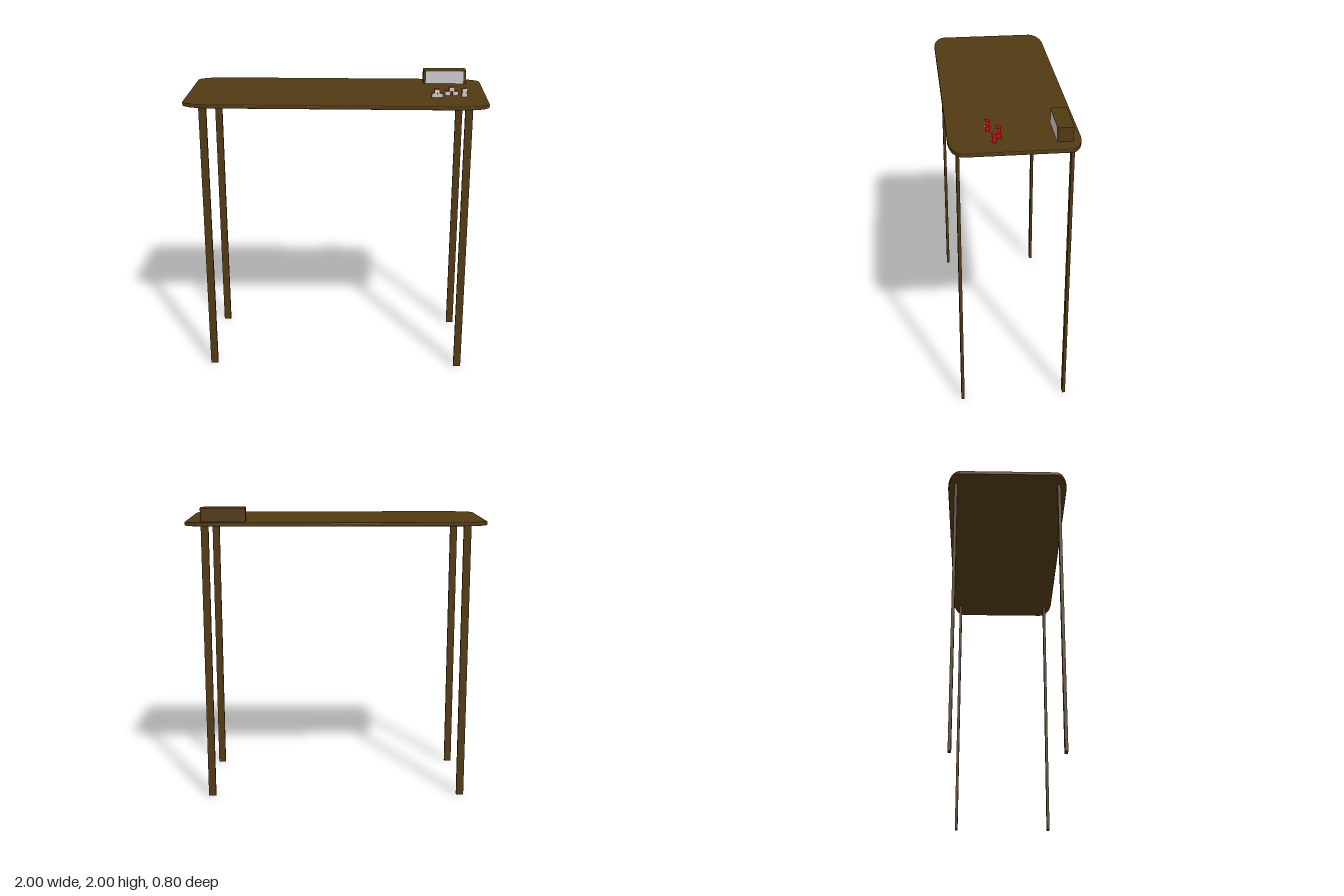
import * as THREE from 'three';

const mat = (color) => new THREE.MeshStandardMaterial({ color });

// Upright slab with elliptical corners, outer size w x h x d, resting on its base
function roundedSlab(w, h, d, rx, rz, bevel, material) {
  const x = w / 2 - bevel, z = d / 2 - bevel;
  const s = new THREE.Shape();
  s.moveTo(x, -z + rz);
  s.absellipse(x - rx, z - rz, rx, rz, 0, Math.PI / 2, false);
  s.absellipse(-x + rx, z - rz, rx, rz, Math.PI / 2, Math.PI, false);
  s.absellipse(-x + rx, -z + rz, rx, rz, Math.PI, Math.PI * 1.5, false);
  s.absellipse(x - rx, -z + rz, rx, rz, Math.PI * 1.5, Math.PI * 2, false);
  const geo = new THREE.ExtrudeGeometry(s, {
    depth: h - 2 * bevel, curveSegments: 12,
    bevelEnabled: bevel > 0, bevelSize: bevel, bevelThickness: bevel, bevelSegments: 2,
  });
  geo.rotateX(-Math.PI / 2);
  geo.translate(0, bevel, 0);
  return new THREE.Mesh(geo, material);
}

export function createModel() {
  const model = new THREE.Group();
  const wood = mat(0x523a14), red = mat(0xd00808), grey = mat(0xcccccc);
  const add = (mesh, name, x, y, z, parent = model) => {
    mesh.name = name;
    mesh.position.set(x, y, z);
    parent.add(mesh);
    return mesh;
  };

  // Table top
  const topY = 1.91, thick = 0.026;
  add(roundedSlab(2, thick, 0.8, 0.19, 0.08, 0.005, wood), 'tableTop', 0, topY - thick, 0);

  // Four flat legs
  const legH = topY - thick + 0.003;
  const legGeo = new THREE.BoxGeometry(0.05, legH, 0.02);
  for (const [sx, side] of [[1, 'left'], [-1, 'right']])
    for (const [sz, end] of [[1, 'Front'], [-1, 'Back']])
      add(new THREE.Mesh(legGeo, wood), `${side}${end}Leg`, sx * 0.866, legH / 2, sz * 0.345);

  // Storage box with a pale front panel
  const box = add(new THREE.Group(), 'storageBox', 0.747, topY, -0.297);
  add(roundedSlab(0.298, 0.09, 0.102, 0.02, 0.014, 0, wood), 'boxBody', 0, 0, 0, box);
  add(new THREE.Mesh(new THREE.PlaneGeometry(0.262, 0.09), grey), 'boxFrontPanel', 0, 0.045, 0.0515, box);

  // Small stacked blocks, red with pale front faces: x, level, z, turn
  const bw = 0.036, bh = 0.028, bd = 0.025;
  const blockGeo = new THREE.BoxGeometry(bw, bh, bd);
  const faces = [red, red, red, red, grey, red];
  const piles = [
    [[0.652, 0, 0.151, 0.05], [0.692, 0, 0.149, -0.05], [0.668, 1, 0.151, 0.12]],
    [[0.744, 0, 0.09, 0], [0.796, 0, 0.09, 0], [0.77, 1, 0.09, 0.1]],
    [[0.853, 0, 0.125, 0], [0.853, 1, 0.125, 0.12]],
  ];
  piles.forEach((pile, i) => {
    const g = add(new THREE.Group(), `blockPile${i + 1}`, 0, topY, 0);
    pile.forEach(([x, level, z, turn], j) => {
      add(new THREE.Mesh(blockGeo, faces), `block${j + 1}`, x, bh * (level + 0.5), z, g).rotation.y = turn;
    });
  });

  return model;
}
